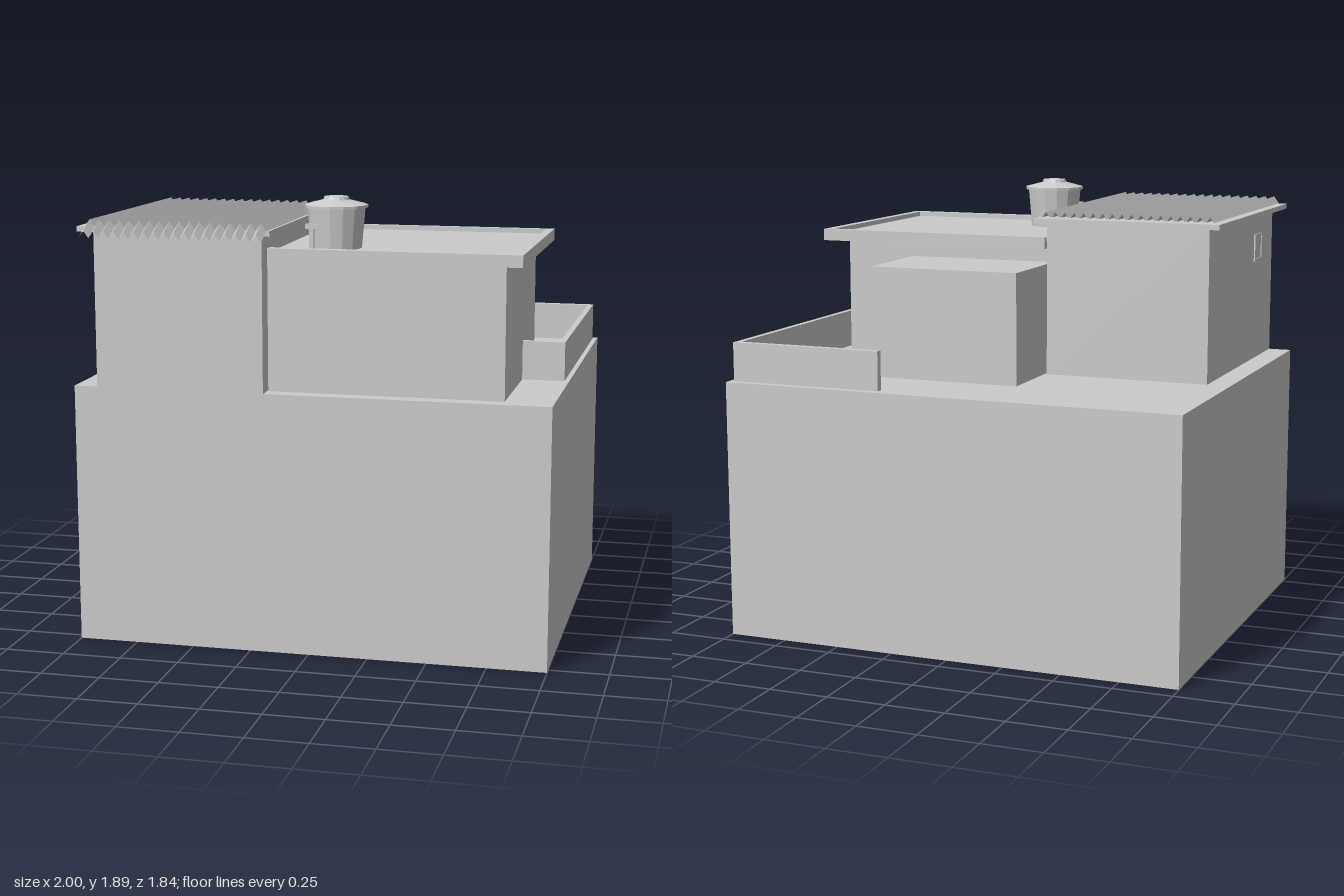
import * as THREE from 'three';

const material = new THREE.MeshStandardMaterial({ color: 0xcccccc, flatShading: true });
const sheetMaterial = new THREE.MeshStandardMaterial({ color: 0xcccccc, flatShading: true, side: THREE.DoubleSide });

// Box given by its minimum and maximum along each axis
function box(name, [x0, x1], [y0, y1], [z0, z1]) {
  const mesh = new THREE.Mesh(new THREE.BoxGeometry(x1 - x0, y1 - y0, z1 - z0), material);
  mesh.name = name;
  mesh.position.set((x0 + x1) / 2, (y0 + y1) / 2, (z0 + z1) / 2);
  return mesh;
}

function group(name, ...children) {
  const g = new THREE.Group();
  g.name = name;
  g.add(...children);
  return g;
}

// Corrugated sheet: zigzag across x, bent down along its front edge
function corrugatedSheet() {
  const waves = 18, cols = waves * 2;
  const rows = [[-0.22, 1.78], [0.84, 1.788], [0.917, 1.75]]; // z, y
  const geometry = new THREE.PlaneGeometry(1, 1, cols, rows.length - 1);
  const p = geometry.attributes.position;
  for (let i = 0; i < p.count; i++) {
    const col = i % (cols + 1);
    const [z, y] = rows[Math.floor(i / (cols + 1))];
    const x = -0.915 + (0.765 * col) / cols;
    p.setXYZ(i, x, y + (col % 2 ? 0.015 : -0.015), z);
  }
  // rows run towards +z, so the sheet faces up
  geometry.computeVertexNormals();
  const mesh = new THREE.Mesh(geometry, sheetMaterial);
  mesh.name = 'corrugatedSheet';
  return mesh;
}

// Tapered water tank with an overhanging lid and a small cap
function waterTank() {
  const profile = [
    [0, 1.668], [0.105, 1.668], [0.12, 1.838], [0.131, 1.838], [0.131, 1.85],
    [0.055, 1.87], [0.05, 1.883], [0, 1.887],
  ].map(([r, y]) => new THREE.Vector2(r, y));
  const tank = new THREE.Mesh(new THREE.LatheGeometry(profile, 14), material);
  tank.name = 'tankBody';
  tank.position.set(0.05, 0, 0.47);
  return group('waterTank', tank,
    box('tapPipe', [-0.045, -0.025], [1.67, 1.77], [0.545, 0.565]),
    box('tapHandle', [-0.06, -0.01], [1.755, 1.775], [0.54, 0.565]));
}

export function createModel() {
  const model = new THREE.Group();
  model.name = 'rooftopBuilding';

  // Main block
  model.add(box('mainBlock', [-1, 1], [0, 1.1], [-0.92, 0.785]));

  // Tall room with a metal roof
  model.add(group('tallRoom',
    box('tallRoomWalls', [-0.9, -0.185], [1.1, 1.755], [-0.245, 0.785]),
    box('tallRoofPlate', [-0.955, -0.14], [1.75, 1.772], [-0.292, 0.83]),
    corrugatedSheet()));

  // Small framed window on the outer wall
  const wx = [-0.906, -0.895];
  model.add(group('smallWindow',
    box('windowPane', [-0.902, -0.895], [1.54, 1.66], [0.47, 0.59]),
    ...[1.54, 1.65].map((y) => box('windowRail', wx, [y, y + 0.01], [0.47, 0.59])),
    ...[0.47, 0.58].map((z) => box('windowStile', wx, [1.55, 1.65], [z, z + 0.01]))));

  // Wide room with a rimmed flat roof
  model.add(group('wideRoom',
    box('wideRoomWalls', [-0.18, 0.8], [1.1, 1.645], [-0.14, 0.72]),
    box('wideRoofSlab', [-0.18, 0.83], [1.64, 1.67], [-0.235, 0.68]),
    box('roofRimFront', [-0.18, 0.865], [1.64, 1.69], [0.68, 0.722]),
    box('roofRimBack', [-0.18, 0.865], [1.64, 1.69], [-0.263, -0.235]),
    box('roofRimSide', [0.83, 0.865], [1.64, 1.69], [-0.235, 0.68])));

  // Low annex behind the wide room
  model.add(box('backAnnex', [-0.175, 0.487], [1.1, 1.572], [-0.572, -0.14]));

  // Parapet along the terrace edge
  model.add(group('parapet',
    box('parapetSide', [0.955, 0.98], [1.1, 1.265], [-0.855, 0.2]),
    box('parapetBack', [0.31, 0.98], [1.1, 1.265], [-0.885, -0.855]),
    box('parapetFront', [0.8, 0.98], [1.1, 1.265], [0.2, 0.225])));

  model.add(waterTank());
  return model;
}
